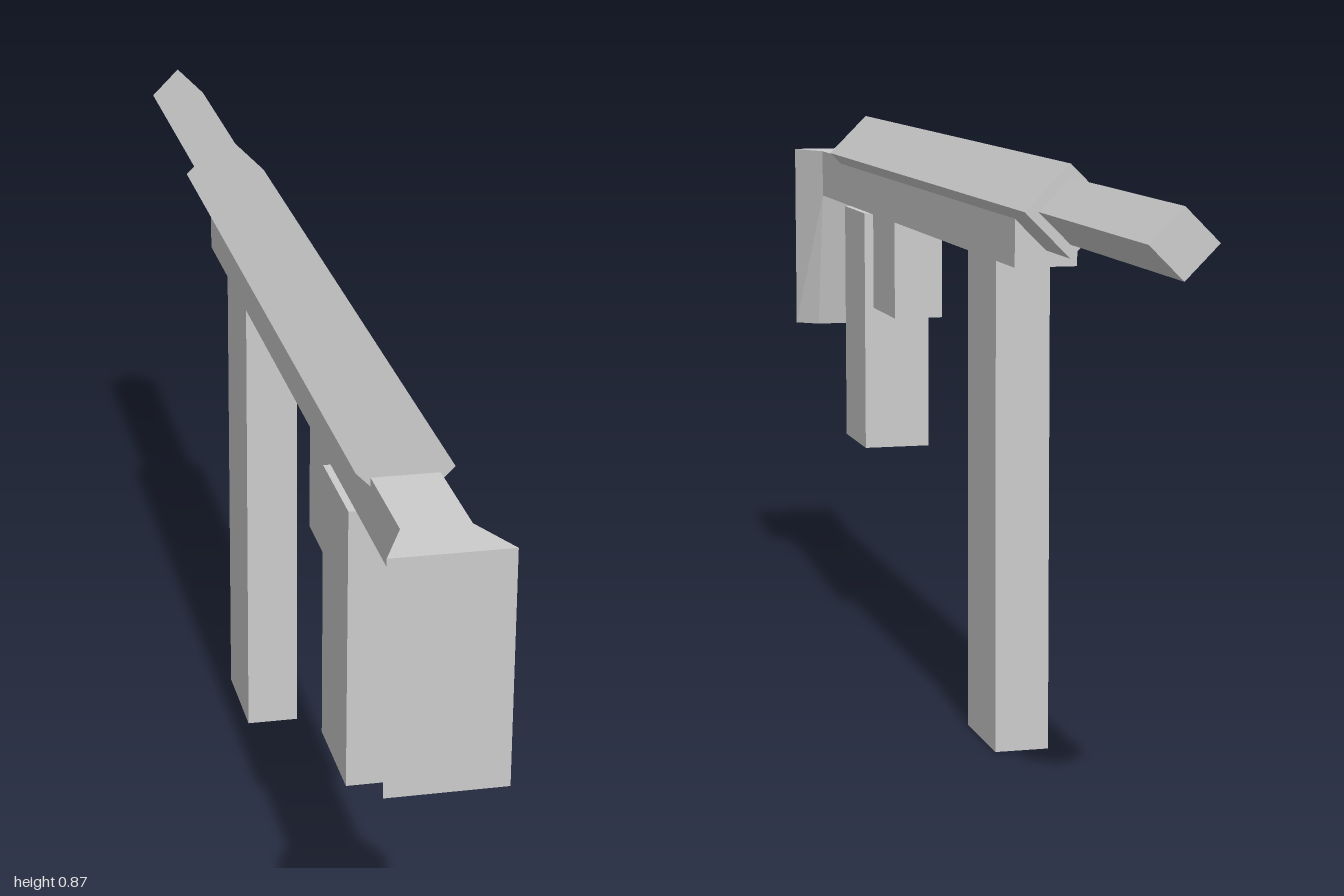
import * as THREE from 'three';

const material = new THREE.MeshStandardMaterial({ color: 0xcccccc, flatShading: true });

function addMesh(group, name, geometry) {
  const mesh = new THREE.Mesh(geometry, material);
  mesh.name = name;
  group.add(mesh);
  return mesh;
}

// Box centred on x, given by its half width and its y and z ranges
function block(halfWidth, y0, y1, z0, z1) {
  return new THREE.BoxGeometry(halfWidth * 2, y1 - y0, z1 - z0)
    .translate(0, (y0 + y1) / 2, (z0 + z1) / 2);
}

// Square bar turned on its edge, running along z
function diamondBar(radius, y, z0, z1) {
  return new THREE.CylinderGeometry(radius, radius, z1 - z0, 4)
    .rotateX(Math.PI / 2)
    .translate(0, y, (z0 + z1) / 2);
}

// Block that widens towards its +z face; its inner bottom edge may shift in z
function flaredBlock(innerHalf, outerHalf, y0, y1, z0, z1, bottomZ0 = z0) {
  const geometry = block(outerHalf, y0, y1, z0, z1);
  const p = geometry.attributes.position;
  const midY = (y0 + y1) / 2, midZ = (z0 + z1) / 2;
  for (let i = 0; i < p.count; i++) {
    if (p.getZ(i) > midZ) continue;
    p.setX(i, Math.sign(p.getX(i)) * innerHalf);
    if (p.getY(i) < midY) p.setZ(i, bottomZ0);
  }
  geometry.computeVertexNormals();
  return geometry;
}

export function createModel() {
  const model = new THREE.Group();
  model.name = 'rifle';

  // Long body with the upper housing and barrel
  addMesh(model, 'receiver', block(0.045, 0.722, 0.802, -0.4, 0.92));
  addMesh(model, 'upperHousing', diamondBar(0.064, 0.809, -0.52, 0.76));
  addMesh(model, 'barrel', diamondBar(0.045, 0.809, -1, -0.52));

  // Shoulder stock: flared end and tapering butt plate
  const stock = new THREE.Group();
  stock.name = 'stock';
  addMesh(stock, 'stockFlare', flaredBlock(0.045, 0.08, 0.722, 0.802, 0.92, 1));
  addMesh(stock, 'buttPlate', flaredBlock(0.045, 0.08, 0.482, 0.722, 0.92, 1, 0.97));
  model.add(stock);

  // Parts hanging below the receiver
  addMesh(model, 'grip', block(0.055, 0.322, 0.722, 0.523, 0.68));
  addMesh(model, 'triggerGuard', block(0.04, 0.562, 0.722, 0.363, 0.523));
  addMesh(model, 'magazine', block(0.04, 0, 0.722, -0.28, -0.12));

  return model;
}
